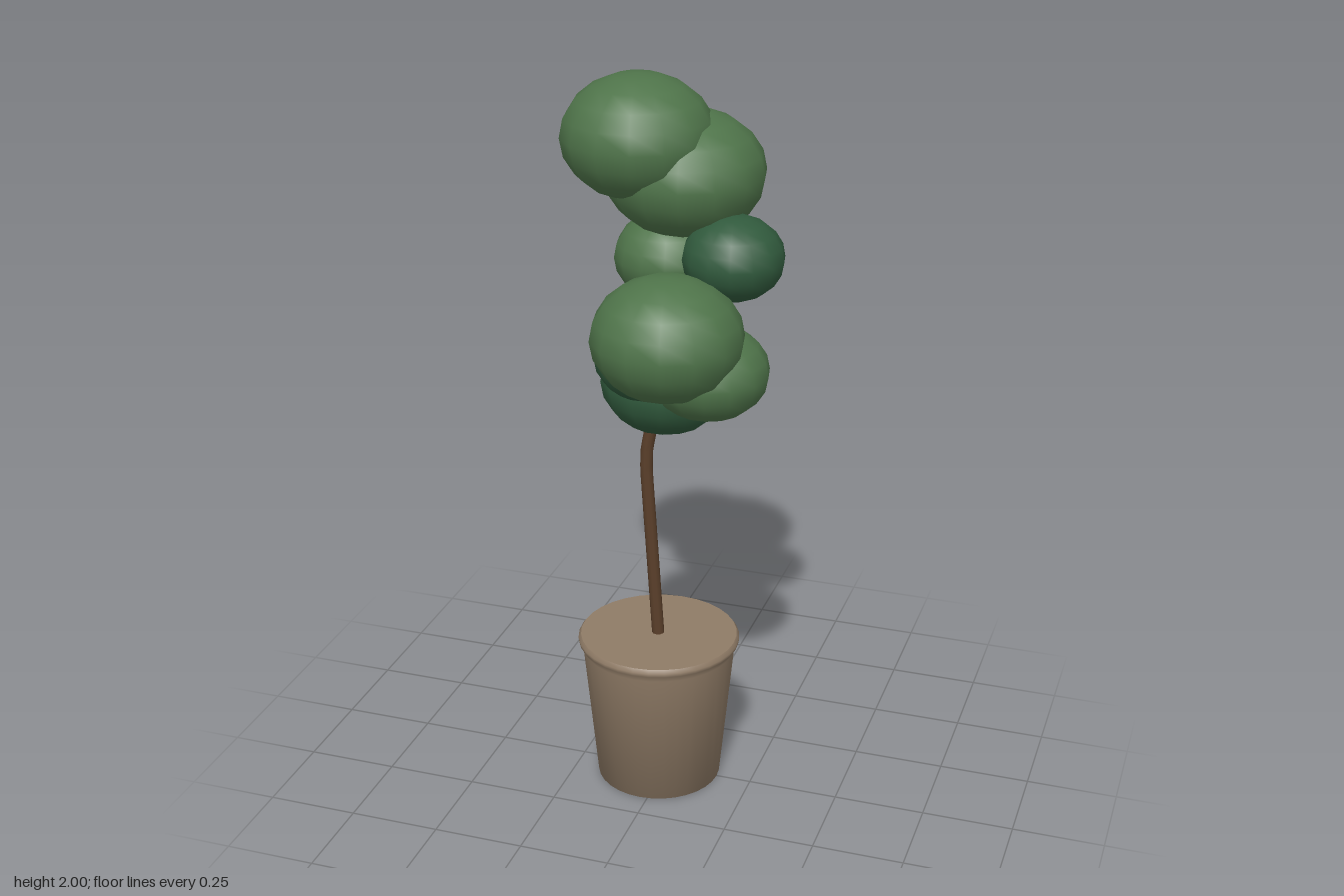
import * as THREE from 'three';

const material = (name, color) => {
  const m = new THREE.MeshStandardMaterial({ color });
  m.name = name;
  return m;
};

export function createModel() {
  const clay = material('clay', 0x8f7b66);
  const bark = material('bark', 0x5a3f2a);
  const leaf = material('leafGreen', 0x4f744a);
  const darkLeaf = material('darkLeafGreen', 0x315a3d);

  const tree = new THREE.Group();
  tree.name = 'pottedTree';
  const add = (name, geometry, mat, x = 0, y = 0, z = 0) => {
    const mesh = new THREE.Mesh(geometry, mat);
    mesh.name = name;
    mesh.position.set(x, y, z);
    tree.add(mesh);
    return mesh;
  };

  // Tapered pot with a flared lip and a closed flat top
  const wall = [[0, 0], [0.173, 0], [0.212, 0.4], [0.224, 0.42], [0.225, 0.43], [0.218, 0.44]];
  const toPoints = (list) => list.map(([r, y]) => new THREE.Vector2(r, y));
  add('pot', new THREE.LatheGeometry(toPoints(wall), 32), clay, -0.022);
  const top = new THREE.CircleGeometry(0.218, 32).rotateX(-Math.PI / 2);
  add('potTop', top, clay, -0.022, 0.44);

  // Slender trunk that bends into the foliage
  const path = new THREE.CurvePath();
  const stops = [
    [-0.022, 0.42, 0.003], [-0.054, 0.94, 0.009], [-0.052, 1.0, 0.009], [-0.035, 1.09, 0.008],
    [0.02, 1.32, 0.04], [0, 1.5, -0.08], [0, 1.7, -0.12],
  ].map((p) => new THREE.Vector3(...p));
  for (let i = 1; i < stops.length; i++) path.add(new THREE.LineCurve3(stops[i - 1], stops[i]));
  add('trunk', new THREE.TubeGeometry(path, 60, 0.017, 10), bark);

  // Flattened leaf clusters: x, y, z, radius, half height, material
  const clusters = [
    [-0.103, 1.835, -0.077, 0.204, 0.165, leaf],
    [0.007, 1.735, -0.134, 0.216, 0.168, leaf],
    [0.17, 1.547, -0.037, 0.135, 0.113, darkLeaf],
    [-0.035, 1.5, -0.137, 0.15, 0.125, leaf],
    [0.05, 1.377, 0.145, 0.201, 0.164, leaf],
    [0.139, 1.271, 0.074, 0.161, 0.126, leaf],
    [-0.015, 1.307, 0.115, 0.138, 0.113, darkLeaf],
    [-0.02, 1.18, -0.057, 0.177, 0.147, darkLeaf],
  ];
  const ball = new THREE.SphereGeometry(1, 14, 10);
  clusters.forEach(([x, y, z, r, h, mat], i) => {
    add(`leafCluster${i + 1}`, ball, mat, x, y, z).scale.set(r, h, r);
  });

  return tree;
}
